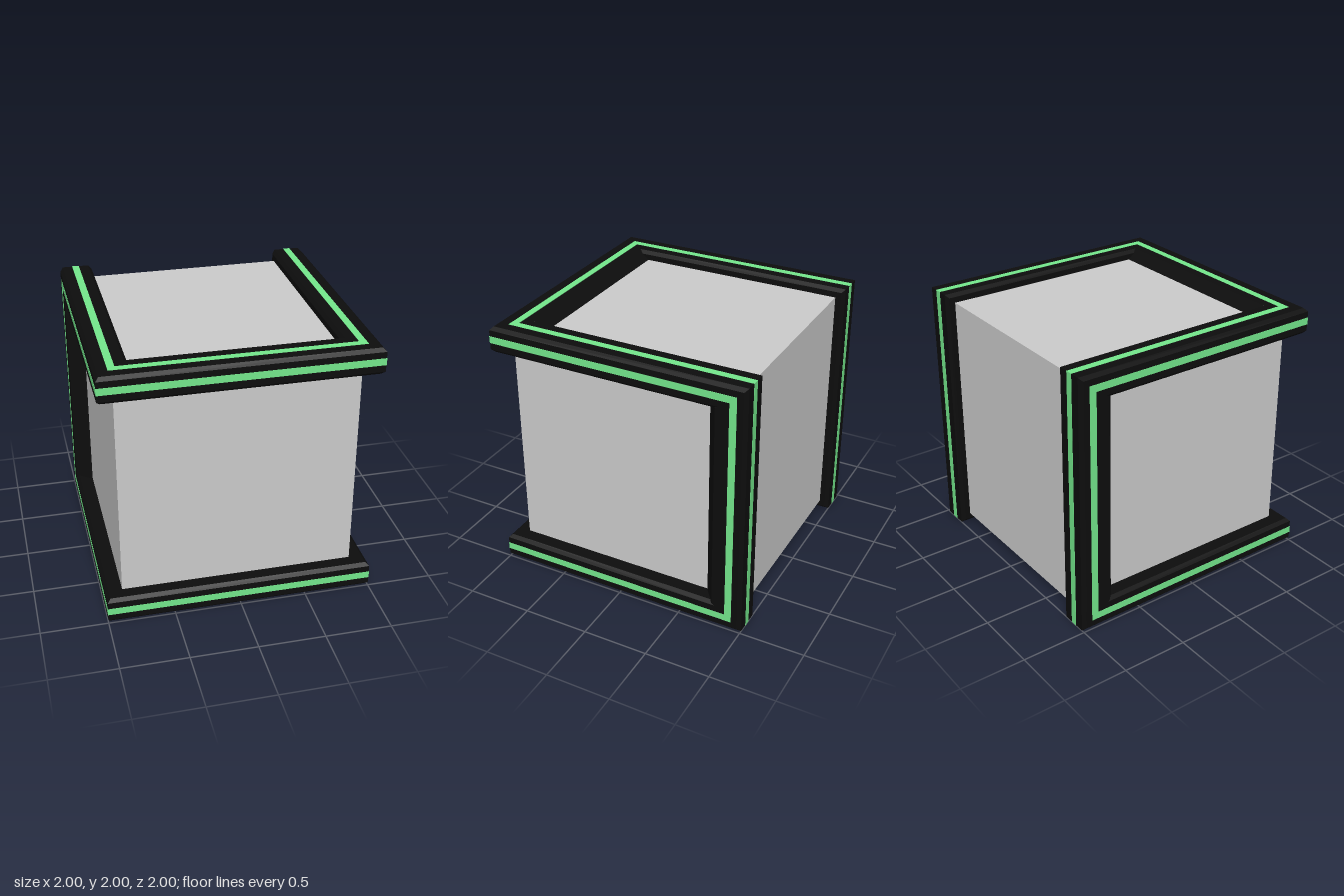
import * as THREE from 'three';
import { ConvexGeometry } from 'three/addons/geometries/ConvexGeometry.js';

const grey = new THREE.MeshStandardMaterial({ color: 0xcccccc });
const black = new THREE.MeshStandardMaterial({ color: 0x0d0d0d, flatShading: true });
const green = new THREE.MeshStandardMaterial({ color: 0x74e88c });

// Box given by its minimum and maximum corners
function block(name, material, min, max) {
  const size = max.map((v, i) => v - min[i]);
  const mesh = new THREE.Mesh(new THREE.BoxGeometry(...size), material);
  mesh.position.set(...min.map((v, i) => (v + max[i]) / 2));
  mesh.name = name;
  return mesh;
}

// Chamfered bar: every profile point gives the two ends of one long edge
function bar(name, profile, edge) {
  const points = profile.flatMap((p) => edge(...p)).map((p) => new THREE.Vector3(...p));
  const mesh = new THREE.Mesh(new ConvexGeometry(points), black);
  mesh.name = name;
  return mesh;
}

// Profiles: side rail (x, h), front rail (z, h), back post (x, z); h is height above mid-level
const sideProfile = [[0.975, 1], [1, 0.975], [1, 0.825], [0.975, 0.8], [0.75, 0.8], [0.75, 0.975], [0.775, 1]];
const frontProfile = [[0.975, 1], [0.77, 1], [0.675, 0.92], [0.675, 0.8], [0.975, 0.8], [1, 0.825], [1, 0.975]];
const postProfile = [[0.975, -1], [0.775, -1], [0.75, -0.975], [0.75, -0.685], [0.89, -0.685], [1, -0.77], [1, -0.975]];

export function createModel() {
  const model = new THREE.Group();
  model.name = 'framedCube';
  const e = 1.002; // stripes stand slightly proud of the frame

  // Plain cube body
  model.add(block('body', grey, [-0.875, 0.07, -0.93], [0.875, 1.93, 0.885]));

  // Rails and stripes of the upper and lower frames
  for (const v of [1, -1]) {
    const level = v > 0 ? 'upper' : 'lower';
    const y = (h) => 1 + v * h;
    const [y0, y1] = [y(0.875), y(0.928)].sort((a, b) => a - b);
    const [f0, f1] = [y(0.99), y(e)].sort((a, b) => a - b);

    model.add(bar(level + 'FrontRail', frontProfile, (z, h) => {
      const end = Math.max(z, 0.76);
      return [[-end, y(h), z], [end, y(h), z]];
    }));
    model.add(block(level + 'FrontStripe', green, [-e, y0, 0.99], [e, y1, e]));
    model.add(block(level + 'FaceStripe', green, [-0.9, f0, 0.847], [0.9, f1, 0.9]));

    for (const s of [1, -1]) {
      const side = level + (s > 0 ? 'Left' : 'Right');
      const span = (a, b) => (s > 0 ? [a, b] : [-b, -a]);
      model.add(bar(side + 'Rail', sideProfile, (x, h) => [[s * x, y(h), x], [s * x, y(h), -h]]));
      const [x0, x1] = span(0.99, e);
      model.add(block(side + 'SideStripe', green, [x0, y0, -0.927], [x1, y1, e]));
      const [t0, t1] = span(0.849, 0.902);
      model.add(block(side + 'FaceStripe', green, [t0, f0, -e], [t1, f1, 0.9]));
    }
  }

  // Back posts joining the two frames
  for (const s of [1, -1]) {
    const side = s > 0 ? 'left' : 'right';
    const span = (a, b) => (s > 0 ? [a, b] : [-b, -a]);
    model.add(bar(side + 'Post', postProfile, (x, z) => {
      const end = Math.max(-z, 0.81);
      return [[s * x, 1 - end, z], [s * x, 1 + end, z]];
    }));
    const [x0, x1] = span(0.99, e);
    model.add(block(side + 'PostSideStripe', green, [x0, 0.072, -0.927], [x1, 1.928, -0.874]));
    const [t0, t1] = span(0.849, 0.902);
    model.add(block(side + 'PostBackStripe', green, [t0, 1 - e, -e], [t1, 1 + e, -0.99]));
  }
  return model;
}
